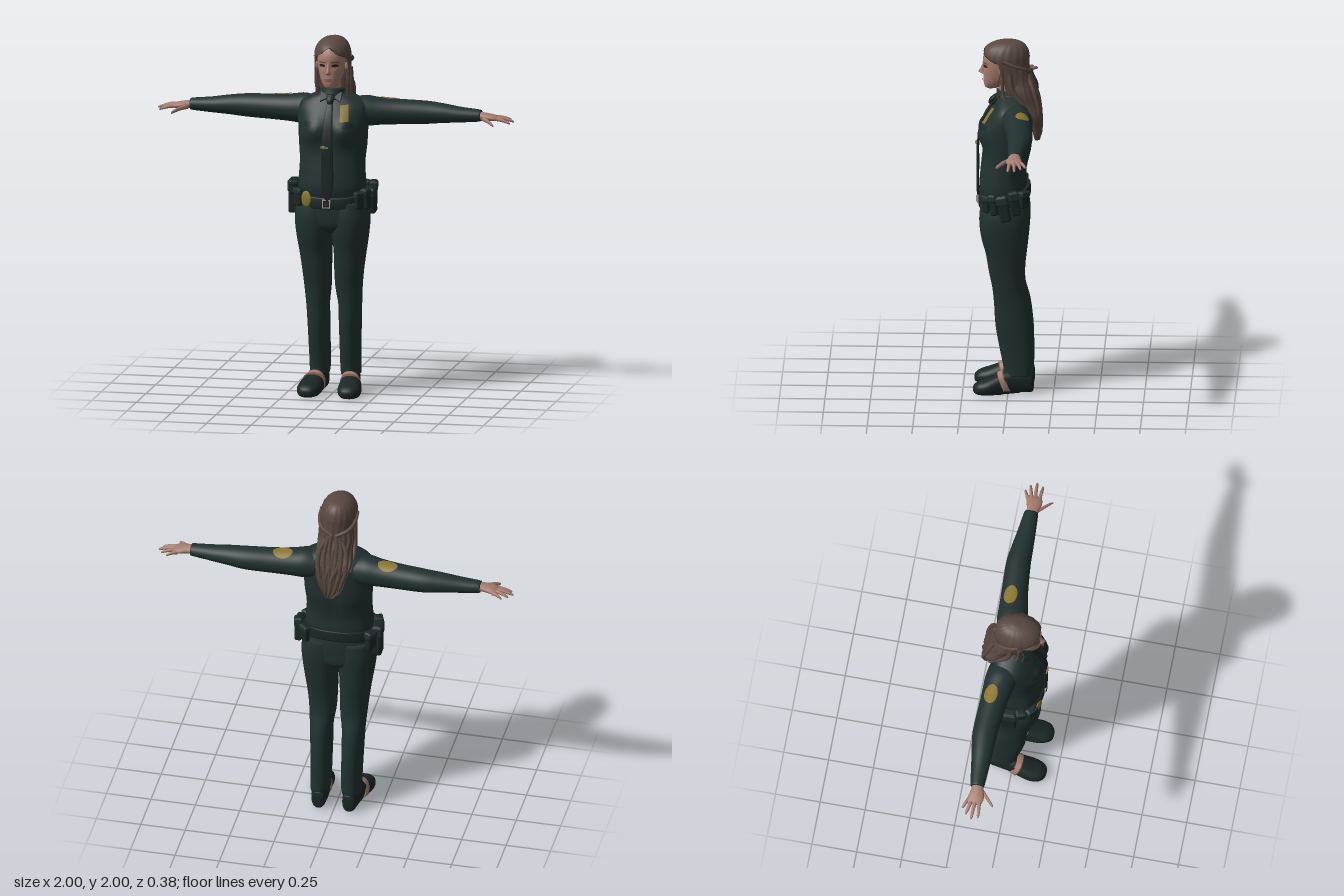
import * as THREE from 'three';
import { RoundedBoxGeometry } from 'three/addons/geometries/RoundedBoxGeometry.js';

const mat = (name, color, side = THREE.FrontSide) => Object.assign(new THREE.MeshStandardMaterial({ color, side }), { name });

// Smooth body swept through cross-sections [t, u, v, ru, rv]; t runs along the axis.
// axis y: u=x v=z, axis x: u=y v=z, axis z: u=x v=y
function loft(rows, { axis = 'y', seg = 32, steps = 5, p = 2, mod } = {}) {
  const c1 = new THREE.CatmullRomCurve3(rows.map(r => new THREE.Vector3(r[0], r[1], r[2])), false, 'catmullrom');
  const c2 = new THREE.CatmullRomCurve3(rows.map(r => new THREE.Vector3(r[3], r[4], 0)), false, 'catmullrom');
  const n = (rows.length - 1) * steps, pos = [], idx = [];
  const place = (t, u, v) => axis === 'y' ? new THREE.Vector3(u, t, v) : axis === 'x' ? new THREE.Vector3(t, u, v) : new THREE.Vector3(u, v, t);
  const sp = a => Math.sign(a) * Math.abs(a) ** (2 / p);
  const flip = (axis === 'y') !== (rows[rows.length - 1][0] < rows[0][0]);
  const tri = (a, b, c) => flip ? idx.push(a, c, b) : idx.push(a, b, c);
  for (let i = 0; i <= n; i++) {
    const a = c1.getPoint(i / n), b = c2.getPoint(i / n);
    for (let j = 0; j < seg; j++) {
      const w = j / seg * Math.PI * 2;
      const q = place(a.x, a.y + b.x * sp(Math.cos(w)), a.z + b.y * sp(Math.sin(w)));
      if (mod) mod(q, w);
      pos.push(q.x, q.y, q.z);
      if (i < n) {
        const k = i * seg, m = (j + 1) % seg;
        tri(k + j, k + m, k + seg + j);
        tri(k + m, k + seg + m, k + seg + j);
      }
    }
  }
  // end caps
  for (const e of [0, n]) {
    const a = c1.getPoint(e / n), q = place(a.x, a.y, a.z);
    if (mod) mod(q, 0);
    pos.push(q.x, q.y, q.z);
    const c = pos.length / 3 - 1, k = e * seg;
    for (let j = 0; j < seg; j++) e ? tri(k + j, k + (j + 1) % seg, c) : tri(k + (j + 1) % seg, k + j, c);
  }
  const g = new THREE.BufferGeometry();
  g.setAttribute('position', new THREE.Float32BufferAttribute(pos, 3));
  g.setIndex(idx);
  g.computeVertexNormals();
  return g;
}

export function createModel() {
  const root = new THREE.Group();
  root.name = 'officer';
  const cloth = mat('uniform green', 0x213130), leather = mat('belt leather', 0x1a2625), skin = mat('skin', 0xa67d6d);
  const hair = mat('hair brown', 0x594840), gold = mat('badge gold', 0x8a752b), dark = mat('eye dark', 0x2b1c19);
  const lip = mat('lip', 0x8a5c52), silver = mat('buckle silver', 0xa9a5a0), red = mat('pin red', 0x6b2028);
  const add = (name, g, m) => {
    const o = new THREE.Mesh(g, m);
    o.name = name;
    root.add(o);
    return o;
  };

  // Lays a flat geometry onto a body along z (or down y)
  const ray = new THREE.Raycaster();
  const hit = (body, x, y, z, down) => {
    ray.set(down ? new THREE.Vector3(x, 3, z) : new THREE.Vector3(x, y, 2), down ? new THREE.Vector3(0, -1, 0) : new THREE.Vector3(0, 0, -1));
    return ray.intersectObject(body)[0]?.point;
  };
  const decal = (name, g, m, body, down, lift = 0.004) => {
    const p = g.attributes.position;
    for (let i = 0; i < p.count; i++) {
      const h = hit(body, p.getX(i), p.getY(i), p.getZ(i), down);
      if (h) down ? p.setY(i, h.y + lift) : p.setZ(i, h.z + lift);
    }
    g.computeVertexNormals();
    return add(name, g, m);
  };
  const disc = (x, y, rx, ry) => new THREE.RingGeometry(0.001, 1, 24, 4).scale(rx, ry, 1).translate(x, y, 0);
  const rect = (x, y, w, h, tilt = 0) => new THREE.PlaneGeometry(w, h, 5, 5).rotateZ(tilt).translate(x, y, 0);

  // Shirt, with a rounded chest
  const shirt = add('shirt', loft([
    [1.115, 0, 0.03, 0.175, 0.12], [1.17, 0, 0.03, 0.188, 0.13], [1.25, 0, 0.028, 0.183, 0.127], [1.32, 0, 0.018, 0.181, 0.13],
    [1.4, 0, 0.005, 0.188, 0.135], [1.5, 0, 0.002, 0.193, 0.137], [1.58, 0, -0.01, 0.197, 0.125], [1.63, 0, -0.018, 0.185, 0.102],
    [1.665, 0, -0.018, 0.13, 0.082], [1.69, 0, -0.015, 0.07, 0.06], [1.71, 0, -0.005, 0.052, 0.052]], {
    seg: 56, p: 2.3, mod: q => {
      if (q.z > 0) q.z += 0.036 * Math.exp(-(((Math.abs(q.x) - 0.085) / 0.06) ** 2) - ((q.y - 1.485) / 0.07) ** 2);
      if (q.z < 0) q.z += 0.012 * Math.exp(-((q.x / 0.03) ** 2)) * Math.min(1, Math.max(0, (q.y - 1.2) / 0.2));
    } }), cloth);

  // Collar and necktie
  add('collar', loft([[1.655, 0, 0, 0.085, 0.08], [1.685, 0, 0.004, 0.066, 0.066], [1.715, 0, 0.006, 0.056, 0.056]], { steps: 3 }), cloth);
  for (const s of [-1, 1]) {
    const g = new THREE.CylinderGeometry(0.036, 0.036, 0.012, 3).rotateX(Math.PI / 2).rotateZ(s * 0.5).rotateX(-0.7);
    add('collarPoint', g.translate(s * 0.04, 1.668, 0.066), cloth);
  }
  add('tieKnot', loft([[1.635, 0, 0.098, 0.014, 0.012], [1.66, 0, 0.088, 0.022, 0.018], [1.685, 0, 0.068, 0.02, 0.012]], { seg: 16 }), leather);
  add('tie', loft([1.645, 1.58, 1.5, 1.4, 1.3, 1.2, 1.135, 1.105].map((y, i) =>
    [y, 0, Math.max(hit(shirt, 0, Math.max(y, 1.13), 0).z + 0.01, y < 1.45 ? 0.168 : 0), [0.016, 0.022, 0.028, 0.031, 0.034, 0.034, 0.024, 0.005][i], 0.007]), { seg: 20, p: 3 }), leather);
  add('tieClip', new THREE.BoxGeometry(0.045, 0.01, 0.008).translate(-0.015, 1.405, 0.177), gold);
  add('tieClipCrest', new THREE.SphereGeometry(0.011, 12, 8).scale(1, 1, 0.5).translate(-0.018, 1.405, 0.179), gold);

  // Shirt details
  decal('chestBadge', rect(0.083, 1.587, 0.046, 0.085, 0.12), gold, shirt);
  decal('collarPin', rect(-0.085, 1.638, 0.022, 0.008), red, shirt);
  for (const s of [-1, 1]) decal('pocketFlap', rect(s * 0.095, 1.525, 0.085, 0.028), leather, shirt, false, 0.003);

  for (const s of [-1, 1]) {
    // Sleeves
    const sleeve = add('sleeve', loft([
      [0.1, 1.575, -0.04, 0.075, 0.085], [0.17, 1.578, -0.05, 0.085, 0.088], [0.25, 1.576, -0.06, 0.076, 0.08], [0.35, 1.575, -0.07, 0.07, 0.073],
      [0.5, 1.575, -0.08, 0.064, 0.068], [0.6, 1.575, -0.076, 0.054, 0.06], [0.7, 1.572, -0.07, 0.043, 0.05],
      [0.8, 1.572, -0.066, 0.034, 0.04], [0.815, 1.572, -0.066, 0.03, 0.036]]
      .map(r => [r[0] * s, ...r.slice(1)]), { axis: 'x' }), cloth);
    const patch = new THREE.RingGeometry(0.001, 1, 24, 5).rotateX(-Math.PI / 2).scale(0.055, 1, 0.037).translate(s * 0.295, 1.65, -0.085);
    decal('shoulderPatch', patch, gold, sleeve, true);

    // Hands
    add('palm', loft([[0.79, 1.572, -0.065, 0.024, 0.03], [0.83, 1.57, -0.06, 0.022, 0.034], [0.87, 1.566, -0.06, 0.019, 0.043],
      [0.9, 1.562, -0.064, 0.015, 0.043], [0.915, 1.56, -0.066, 0.006, 0.036]].map(r => [r[0] * s, ...r.slice(1)]), { axis: 'x', seg: 20 }), skin);
    const fingers = [[0.885, 1.56, -0.096, 0.945, 1.55, -0.124], [0.89, 1.564, -0.078, 0.978, 1.55, -0.1],
      [0.89, 1.564, -0.06, 1, 1.545, -0.066], [0.885, 1.562, -0.038, 0.985, 1.54, -0.03], [0.825, 1.56, -0.04, 0.905, 1.535, 0.038]];
    fingers.forEach(([x, y, z, X, Y, Z], i) => add(i < 4 ? 'finger' : 'thumb', loft([0, 0.4, 0.75, 0.95, 1].map((k, j) =>
      [s * (x + (X - x) * k), y + (Y - y) * k + 0.006 * Math.sin(k * 3.14), z + (Z - z) * k, ...Array(2).fill([0.011, 0.01, 0.0085, 0.006, 0.001][j] * (i < 4 ? 1 : 1.2))]),
      { axis: 'x', seg: 10, steps: 2 }), skin));

    // Trouser legs
    add('trouserLeg', loft([
      [0.105, 0.088, -0.055, 0.054, 0.08], [0.15, 0.086, -0.056, 0.056, 0.082], [0.3, 0.087, -0.041, 0.058, 0.096], [0.4, 0.088, -0.03, 0.06, 0.1],
      [0.5, 0.09, -0.02, 0.063, 0.096], [0.6, 0.087, -0.002, 0.074, 0.088], [0.7, 0.09, 0.008, 0.081, 0.098], [0.8, 0.096, 0.01, 0.089, 0.112],
      [0.9, 0.1, 0.018, 0.1, 0.13], [1.0, 0.1, 0.02, 0.108, 0.138], [1.09, 0.095, 0.02, 0.1, 0.13]]
      .map(r => [r[0], s * r[1], ...r.slice(2)]), { p: 2.2 }), cloth);

    // Shoes with a bare instep band
    const foot = [[-0.142, 0.085, 0.06, 0.012, 0.03], [-0.13, 0.086, 0.062, 0.036, 0.056], [-0.07, 0.09, 0.068, 0.047, 0.066], [0, 0.098, 0.064, 0.052, 0.066],
      [0.05, 0.106, 0.052, 0.06, 0.06], [0.11, 0.113, 0.04, 0.066, 0.048], [0.16, 0.115, 0.034, 0.055, 0.036], [0.185, 0.113, 0.03, 0.033, 0.022], [0.192, 0.112, 0.03, 0.01, 0.008]];
    add('shoe', loft(foot.map(r => [r[0], s * r[1], ...r.slice(2)]), { axis: 'z', p: 2.3, mod: q => { q.y = Math.max(q.y, q.z > -0.06 ? 0.002 : 0.01); } }), leather);
    add('instep', loft([[0, s * 0.098, 0.064, 0.054, 0.068], [0.018, s * 0.101, 0.06, 0.058, 0.066], [0.036, s * 0.104, 0.056, 0.061, 0.065]],
      { axis: 'z', p: 2.3, steps: 2, mod: q => { q.y = Math.max(q.y, 0.025); q.z += (q.y - 0.06) * 0.4; } }), skin);
  }

  // Hips and belt, lower at the front
  add('trouserSeat', loft([[0.915, 0, 0.015, 0.11, 0.09], [0.95, 0, 0.018, 0.19, 0.125], [1.0, 0, 0.02, 0.205, 0.134], [1.08, 0, 0.02, 0.2, 0.134], [1.15, 0, 0.015, 0.18, 0.12]], { seg: 40, p: 2.2 }), cloth);
  const slope = q => { q.y -= 0.22 * q.z; };
  add('belt', loft([[1.092, 0, 0.022, 0.203, 0.139], [1.098, 0, 0.022, 0.209, 0.144], [1.148, 0, 0.022, 0.205, 0.143], [1.154, 0, 0.022, 0.198, 0.137]], { seg: 48, steps: 2, p: 2.2, mod: slope }), leather);
  for (const [name, w, d, m] of [['buckle', 0.044, 0.01, silver], ['buckleCentre', 0.032, 0.014, leather], ['bucklePin', 0.006, 0.018, red]])
    add(name, new THREE.BoxGeometry(w, w === 0.006 ? 0.022 : w * 1.1, d).translate(-0.005, 1.088, 0.168), m);
  add('beltBadge', new THREE.SphereGeometry(1, 20, 12).scale(0.032, 0.044, 0.008).rotateY(-0.4).translate(-0.122, 1.11, 0.15), gold);

  // Belt pouches: x, y, z, width, height, depth, turn about y, lean
  const pouches = [
    [0.165, 1.105, 0.115, 0.05, 0.1, 0.035, 0.75, 0], [0.2, 1.11, 0.075, 0.045, 0.12, 0.04, 1.1, 0.15], [0.222, 1.095, 0.02, 0.06, 0.15, 0.04, 1.5, 0.2],
    [0.218, 1.125, -0.04, 0.05, 0.14, 0.04, 1.75, 0.15], [0.17, 1.135, -0.09, 0.06, 0.1, 0.035, 2.4, 0], [-0.17, 1.115, 0.118, 0.06, 0.1, 0.035, -0.7, 0],
    [-0.222, 1.1, 0.0, 0.085, 0.19, 0.05, -1.55, 0], [-0.212, 1.16, 0.065, 0.05, 0.08, 0.04, -1.2, 0], [-0.195, 1.125, -0.065, 0.06, 0.11, 0.04, -2.1, 0]];
  for (const [x, y, z, w, h, d, ry, rz] of pouches) {
    const spot = g => g.rotateZ(rz).rotateY(ry).translate(x, y, z);
    add('pouch', spot(new RoundedBoxGeometry(w, h, d, 3, 0.012)), leather);
    add('pouchFlap', spot(new RoundedBoxGeometry(w + 0.006, h * 0.35, d + 0.008, 2, 0.01).translate(0, h * 0.3, 0)), cloth);
  }

  // Neck and head
  add('neck', loft([[1.65, 0, -0.005, 0.054, 0.052], [1.71, 0, 0.005, 0.047, 0.049], [1.79, 0, 0.02, 0.05, 0.055]]), skin);
  const head = add('head', loft([
    [1.722, 0, 0.098, 0.014, 0.016], [1.733, 0, 0.088, 0.032, 0.042], [1.765, 0, 0.064, 0.053, 0.074], [1.805, 0, 0.048, 0.067, 0.09],
    [1.86, 0, 0.04, 0.077, 0.101], [1.91, 0, 0.03, 0.078, 0.108], [1.955, 0, 0.02, 0.066, 0.092], [1.985, 0, 0.01, 0.035, 0.05]], { seg: 48, p: 2.15, mod: q => {
    if (q.z > 0.08) q.z -= 0.009 * Math.exp(-(((Math.abs(q.x) - 0.034) / 0.018) ** 2) - ((q.y - 1.855) / 0.016) ** 2);
  } }), skin);
  add('nose', loft([[1.803, 0, 0.128, 0.01, 0.012], [1.811, 0, 0.139, 0.016, 0.018], [1.82, 0, 0.145, 0.012, 0.02], [1.845, 0, 0.136, 0.009, 0.014], [1.872, 0, 0.132, 0.008, 0.008]], { seg: 16 }), skin);
  decal('upperLip', disc(0, 1.7795, 0.024, 0.0045), lip, head, false, 0.006);
  decal('lowerLip', disc(0, 1.7715, 0.02, 0.005), lip, head, false, 0.007);
  for (const s of [-1, 1]) {
    decal('eye', disc(s * 0.036, 1.855, 0.019, 0.0075), dark, head, false, 0.003);
    decal('eyebrow', rect(s * 0.036, 1.874, 0.042, 0.005, s * -0.08), hair, head, false, 0.003);
    add('ear', new THREE.SphereGeometry(1, 14, 10).scale(0.012, 0.03, 0.018).translate(s * 0.083, 1.845, 0.035), skin);
  }

  // Hair cap, cut back around the face
  add('hairCap', loft([
    [1.7, 0, -0.045, 0.085, 0.07], [1.75, 0, -0.035, 0.092, 0.083], [1.82, 0, -0.01, 0.095, 0.106], [1.88, 0, 0.012, 0.1, 0.127], [1.92, 0, 0.016, 0.098, 0.13],
    [1.96, 0, 0.012, 0.082, 0.112], [1.988, 0, 0.004, 0.052, 0.072], [2.0, 0, 0, 0.012, 0.016]], { seg: 72, steps: 8, mod: (q, w) => {
    const k = 1 + 0.014 * Math.sin(w * 18 + q.y * 25);
    q.x *= k;
    if (q.z < 0) q.z *= k;
    const line = 1.95 - 0.75 * Math.abs(q.x), edge = q.y > 1.87 ? 0.05 : 0.05 - (1.87 - q.y) * 0.25;
    if (q.y < line) q.z = Math.min(q.z, edge);
  } }), hair);

  // Long hair down the back
  add('longHair', loft([
    [1.86, 0, -0.045, 0.08, 0.06], [1.78, 0, -0.055, 0.094, 0.066], [1.7, 0, -0.085, 0.102, 0.064], [1.63, 0.002, -0.125, 0.1, 0.05],
    [1.56, 0.006, -0.147, 0.083, 0.036], [1.49, 0.01, -0.158, 0.06, 0.024], [1.435, 0.012, -0.158, 0.025, 0.01]], { seg: 64, steps: 6, mod: (q, w) => {
    q.z += 0.006 * Math.sin(w * 14 + q.y * 30);
    q.x += 0.004 * Math.sin(q.y * 45);
  } }), hair);

  // Loose locks and braids
  const strand = (name, pts, r) => add(name, new THREE.TubeGeometry(new THREE.CatmullRomCurve3(pts.map(a => new THREE.Vector3(...a))), 24, r, 8), hair);
  for (const s of [-1, 1]) {
    strand('frontLock', [[s * 0.088, 1.88, 0.045], [s * 0.09, 1.8, 0.03], [s * 0.083, 1.73, 0.03], [s * 0.088, 1.665, 0.015]], 0.009);
    strand('sideLock', [[s * 0.093, 1.83, -0.01], [s * 0.097, 1.75, -0.02], [s * 0.098, 1.69, -0.05], [s * 0.09, 1.6, -0.13]], 0.014);
    strand('wisp', [[s * 0.088, 1.83, 0.04], [s * 0.084, 1.75, 0.06], [s * 0.088, 1.67, 0.05]], 0.003);
    strand('braid', [[s * 0.1, 1.9, 0.03], [s * 0.1, 1.875, -0.03], [s * 0.075, 1.85, -0.09], [s * 0.01, 1.82, -0.122]], 0.01);
    for (let i = 0; i < 3; i++)
      strand('backLock', [[s * 0.015 * (i + 1), 1.83 - i * 0.02, -0.112], [s * 0.028 * (i + 0.7), 1.72, -0.142], [s * 0.03 * (i + 0.5), 1.62, -0.168], [s * 0.018 * (i + 0.5), 1.47 + i * 0.02, -0.168]], 0.011);
  }
  return root;
}
